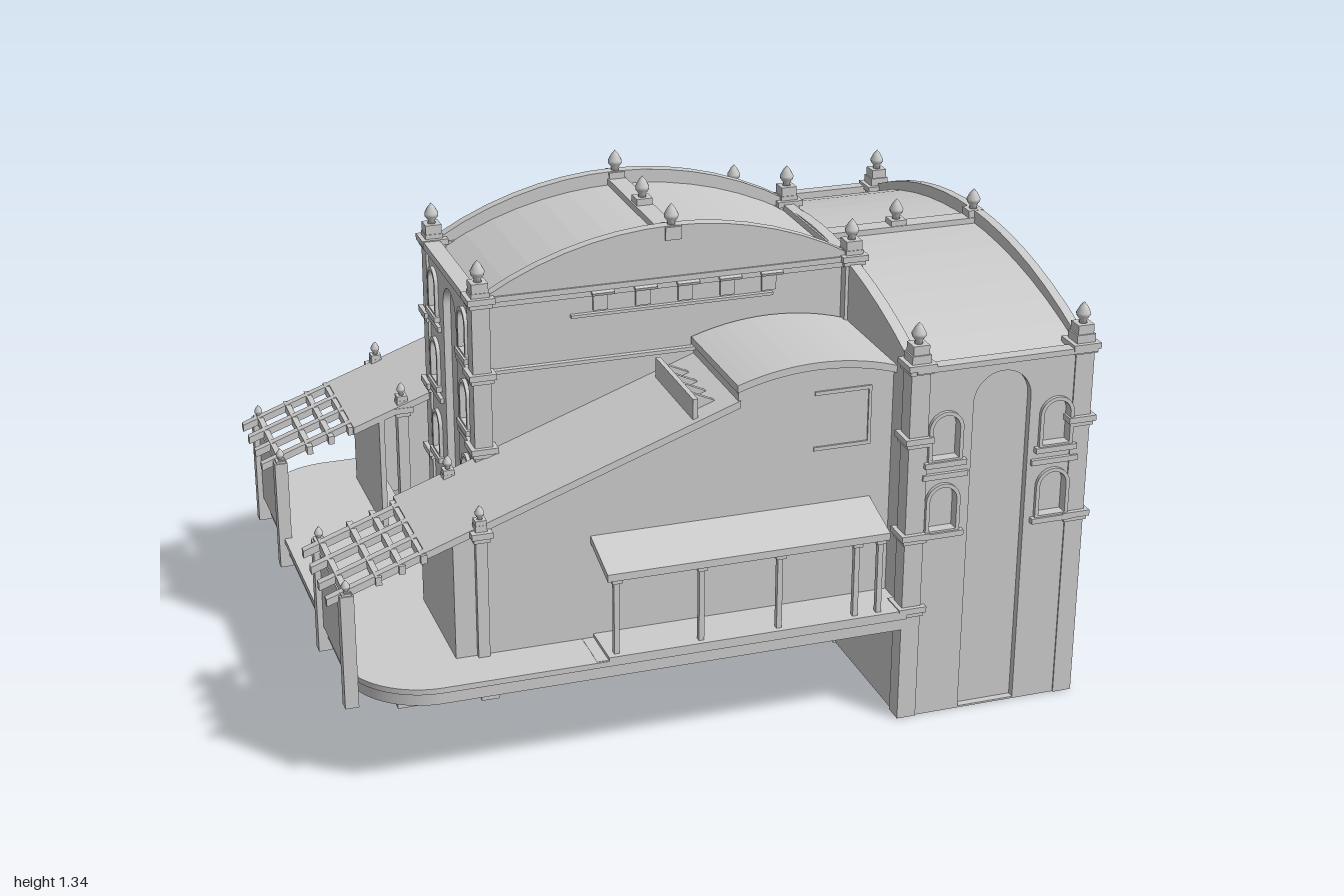
import * as THREE from 'three';

const mat = new THREE.MeshStandardMaterial({ color: 0xcccccc, side: THREE.DoubleSide });
const V = (x, y) => new THREE.Vector2(x, y);

function add(parent, name, geo) {
  const m = new THREE.Mesh(geo, mat);
  m.name = name;
  parent.add(m);
  return m;
}
// Box from its limits
function box(p, name, x0, x1, y0, y1, z0, z1) {
  const m = add(p, name, new THREE.BoxGeometry(Math.abs(x1 - x0), y1 - y0, Math.abs(z1 - z0)));
  m.position.set((x0 + x1) / 2, (y0 + y1) / 2, (z0 + z1) / 2);
  return m;
}
const extrude = (shape, depth) => new THREE.ExtrudeGeometry(shape, { depth, bevelEnabled: false, curveSegments: 16 });
// Points of a shallow arc from -half to half, rising from y by sag
function arc(half, y, sag, n = 14) {
  const r = (half * half + sag * sag) / (2 * sag);
  return Array.from({ length: n + 1 }, (_, i) => {
    const u = -half + (2 * half * i) / n;
    return V(u, y + sag - r + Math.sqrt(r * r - u * u));
  });
}
// Curved band: the arc on top, the same arc lowered by t (or a flat bottom) below
function arcBand(half, y, sag, t, flat) {
  const top = arc(half, y, sag);
  const low = flat ? [V(half, y - t), V(-half, y - t)] : top.map(q => V(q.x, q.y - t)).reverse();
  return new THREE.Shape([...top, ...low]);
}
// Round-headed opening outline
function archPath(P, u, y0, y1, w) {
  const r = w / 2, s = new P();
  s.moveTo(u - r, y0);
  s.lineTo(u + r, y0);
  s.lineTo(u + r, y1 - r);
  s.absarc(u, y1 - r, r, 0, Math.PI, false);
  s.lineTo(u - r, y0);
  return s;
}
// Raised window surround with sill
function frame(p, u, y0, y1, w, z) {
  const s = archPath(THREE.Shape, u, y0 - 0.01, y1 + 0.01, w + 0.02);
  s.holes.push(archPath(THREE.Path, u, y0, y1, w));
  add(p, 'windowFrame', extrude(s, 0.01)).position.z = z;
  box(p, 'windowSill', u - w / 2 - 0.02, u + w / 2 + 0.02, y0 - 0.02, y0 - 0.005, z, z + 0.016);
}
// Facade with a tall niche and arched windows; its outer face is local z = 0
function facade(half, top, niche, wins) {
  const g = new THREE.Group();
  g.name = 'facade';
  const s = new THREE.Shape([V(-half, 0), V(half, 0), V(half, top), V(-half, top)]);
  for (const [u, y0, y1, w] of [[0, ...niche], ...wins]) {
    s.holes.push(archPath(THREE.Path, u, y0, y1, w));
    add(g, 'recessPanel', extrude(archPath(THREE.Shape, u, y0, y1 + 0.01, w + 0.02), 0.01)).position.z = -0.03;
  }
  for (const w of wins) frame(g, ...w, 0);
  add(g, 'facadeWall', extrude(s, 0.02)).position.z = -0.02;
  return g;
}
function finial(p, x, y, z, k = 1) {
  const w = 0.022 * k;
  box(p, 'finialPlinth', x - w, x + w, y, y + 0.035 * k, z - w, z + w);
  const prof = [[0, 0], [0.011, 0], [0.009, 0.008], [0.018, 0.02], [0.019, 0.028], [0.01, 0.045], [0, 0.057]];
  add(p, 'finial', new THREE.LatheGeometry(prof.map(q => V(q[0] * k, q[1] * k)), 12)).position.set(x, y + 0.035 * k, z);
}
// Square pilaster with projecting caps at the given heights
function pilaster(p, x, z, w, y0, y1, caps) {
  box(p, 'pilaster', x - w, x + w, y0, y1, z - w, z + w);
  for (const c of caps) {
    box(p, 'pilasterCap', x - w - 0.012, x + w + 0.012, c - 0.008, c + 0.008, z - w - 0.012, z + w + 0.012);
    box(p, 'pilasterNeck', x - w - 0.006, x + w + 0.006, c - 0.02, c - 0.008, z - w - 0.006, z + w + 0.006);
  }
}
const slope = x => 0.53 + 0.36 * (x + 0.98);
// Bar or slab following the aisle roof slope
function sloped(p, name, x0, x1, t, z0, z1) {
  const s = new THREE.Shape([V(x0, slope(x0) - t / 2), V(x1, slope(x1) - t / 2), V(x1, slope(x1) + t / 2), V(x0, slope(x0) + t / 2)]);
  add(p, name, extrude(s, z1 - z0)).position.z = z0;
}

function eastBlock(root) {
  const g = new THREE.Group();
  g.name = 'eastBlock';
  root.add(g);
  // End facades
  const wins = [-0.155, 0.155].flatMap(u => [[u, 0.74, 0.86, 0.075], [u, 0.54, 0.66, 0.075]]);
  for (const s of [1, -1]) {
    const f = facade(0.245, 1, [0.005, 0.96, 0.16], wins);
    f.position.set(0.735, 0, s * 0.69);
    if (s < 0) f.rotation.y = Math.PI;
    g.add(f);
    for (const [a, b] of [[0.52, 0.645], [0.825, 0.955]]) box(g, 'stringCourse', a, b, 0.685, 0.7, s * 0.69, s * 0.7);
    box(g, 'cornice', 0.49, 0.99, 0.985, 1.0, s * 0.67, s * 0.705);
    for (const x of [0.505, 0.96]) {
      pilaster(g, x, s * 0.668, 0.026, 0, 1.03, x > 0.9 ? [1.0, 0.8, 0.53] : [1.0, 0.8, 0.53, 0.32]);
      finial(g, x, 1.02, s * 0.668);
    }
  }
  // Long walls, the outer one with its tall opening
  const wall = new THREE.Shape([V(-0.68, 0), V(0.68, 0), V(0.68, 1), V(-0.68, 1)]);
  wall.holes.push(new THREE.Path([V(-0.35, 0.26), V(-0.09, 0.26), V(-0.09, 0.995), V(-0.35, 0.995)]));
  const outer = add(g, 'eastWall', extrude(wall, 0.015));
  outer.rotation.y = Math.PI / 2;
  outer.position.x = 0.96;
  box(g, 'openingPost', 0.965, 0.98, 0.04, 1, 0.335, 0.35);
  box(g, 'westWall', 0.485, 0.5, 0, 1, -0.68, 0.68);
  box(g, 'cornice', 0.96, 0.985, 0.99, 1.003, -0.69, 0.69);
  // Barrel roof between arched parapets
  const bands = [['barrelRoof', arcBand(0.66, 0.985, 0.125, 0.015), 0.49, 0.48],
    ['archedParapet', arcBand(0.64, 1.015, 0.13, 0.025, true), 0.485, 0.03],
    ['archedParapet', arcBand(0.64, 1.015, 0.13, 0.025, true), 0.955, 0.025]];
  for (const [n, s, x, d] of bands) {
    const m = add(g, n, extrude(s, d));
    m.rotation.y = Math.PI / 2;
    m.position.x = x;
  }
  box(g, 'ridge', 0.5, 0.97, 1.1, 1.125, -0.025, 0.025);
  finial(g, 0.73, 1.105, 0);
  finial(g, 0.96, 1.11, 0);
  // Windows on the inner wall
  const inner = new THREE.Group();
  inner.name = 'innerWindows';
  inner.rotation.y = Math.PI / 2;
  inner.position.x = 0.5;
  g.add(inner);
  for (const u of [-0.15, 0.15]) for (const y of [0.68, 0.88]) frame(inner, u, y, y + 0.11, 0.07, 0);
  for (const u of [-0.3, 0.3]) frame(inner, u, 0.8, 0.92, 0.06, 0);
  for (const z of [-0.23, 0.23]) pilaster(g, 0.5, z, 0.022, 0, 1, [0.94, 0.61]);
}

function hall(root) {
  const g = new THREE.Group();
  g.name = 'mainHall';
  root.add(g);
  // Barrel roof, gable and west facade
  add(g, 'barrelRoof', extrude(arcBand(0.495, 1.115, 0.13, 0.02), 0.46)).position.z = -0.23;
  box(g, 'eastGable', 0.48, 0.51, 0.95, 1.14, -0.23, 0.23);
  const f = facade(0.24, 1.13, [0.32, 1.08, 0.13], [-0.155, 0.155].flatMap(u => [0.56, 0.77, 0.97].map(y => [u, y, y + 0.11, 0.06])));
  f.rotation.y = -Math.PI / 2;
  f.position.x = -0.53;
  g.add(f);
  box(g, 'westCornice', -0.545, -0.5, 1.125, 1.145, -0.25, 0.25);
  for (const y of [0.73, 0.935]) for (const s of [1, -1]) box(g, 'stringCourse', -0.54, -0.52, y - 0.007, y + 0.007, s * 0.09, s * 0.24);
  for (const s of [1, -1]) {
    const z = s * 0.235;
    box(g, 'sideWall', -0.53, 0.49, 0, 1.135, s * 0.215, s * 0.23);
    add(g, 'archedParapet', extrude(arcBand(0.5, 1.145, 0.137, 0.03, true), 0.03)).position.z = z - 0.015;
    box(g, 'cornice', -0.54, 0.52, 1.13, 1.145, s * 0.22, s * 0.255);
    box(g, 'stringCourse', -0.53, 0.49, 0.93, 0.94, s * 0.22, s * 0.245);
    for (const x of [-0.513, 0.5]) {
      pilaster(g, x, z, 0.024, x < 0 ? 0 : 0.9, 1.16, x < 0 ? [1.14, 0.935, 0.73, 0.53] : [1.14]);
      finial(g, x, 1.15, z);
    }
    finial(g, 0, 1.245, z);
    // Row of small hooded vents
    box(g, 'ventSill', -0.27, 0.28, 1.057, 1.065, s * 0.23, s * 0.243);
    for (let i = 0; i < 5; i++) {
      const x = -0.22 + i * 0.115;
      box(g, 'ventFrame', x + 0.01, x + 0.05, 1.07, 1.13, s * 0.23, s * 0.237);
      box(g, 'ventHood', x, x + 0.06, 1.125, 1.133, s * 0.23, s * 0.265).rotation.x = s * 0.35;
    }
  }
  box(g, 'ridge', -0.025, 0.025, 1.23, 1.262, -0.23, 0.23);
  finial(g, 0, 1.245, 0);
}

// Side aisle with lean-to roof, rear tower, pergola and veranda
function aisle(root, s) {
  const g = new THREE.Group();
  g.name = s > 0 ? 'frontAisle' : 'backAisle';
  root.add(g);
  const B = (name, x0, x1, y0, y1, z0, z1) => box(g, name, x0, x1, y0, y1, s * z0, s * z1);
  const lo = (a, b) => [Math.min(s * a, s * b), Math.max(s * a, s * b)];
  const crown = arc(0.21, 0.955, 0.035, 12).map(q => V(q.x + 0.275, q.y));
  const prof = new THREE.Shape([V(-0.68, 0.27), V(0.485, 0.27), ...crown.reverse(), V(0.065, slope(0.065)), V(-0.68, slope(-0.68))]);
  add(g, 'aisleWall', extrude(prof, 0.015)).position.z = lo(0.555, 0.57)[0];
  B('aisleWestWall', -0.68, -0.665, 0.3, 0.64, 0.23, 0.57);
  B('towerWestWall', 0.065, 0.08, 0.89, 0.96, 0.23, 0.57);
  sloped(g, 'leanToRoof', -0.75, 0.07, 0.02, ...lo(0.23, 0.573));
  add(g, 'towerRoof', extrude(arcBand(0.215, 0.967, 0.035, 0.02), 0.35)).position.set(0.27, 0, lo(0.24, 0.59)[0]);
  // Upright screen with triangular braces behind it
  B('screen', -0.05, -0.037, 0.85, 0.93, 0.26, 0.555);
  for (const z of [0.31, 0.375, 0.44, 0.505]) {
    const brace = new THREE.Shape([V(-0.04, 0.87), V(0.03, 0.89), V(0.025, 0.9), V(-0.04, 0.93)]);
    add(g, 'screenBrace', extrude(brace, 0.014)).position.z = s * z - 0.007;
  }
  // Window surround on the tower
  B('towerWindowHead', 0.27, 0.425, 0.905, 0.915, 0.565, 0.575);
  B('towerWindowSill', 0.27, 0.425, 0.752, 0.762, 0.565, 0.575);
  B('towerWindowJamb', 0.417, 0.425, 0.76, 0.91, 0.565, 0.575);
  // Pergola
  for (const z of [0.28, 0.375, 0.47, 0.56]) sloped(g, 'pergolaRafter', -1, -0.74, 0.02, ...lo(z - 0.011, z + 0.011));
  for (const x of [-0.95, -0.87, -0.81, -0.755]) B('pergolaBeam', x - 0.008, x + 0.008, slope(x) - 0.015, slope(x) + 0.008, 0.245, 0.58);
  for (const z of [0.255, 0.57]) {
    box(g, 'pergolaPier', -0.97, -0.935, 0.23, 0.54, s * z - 0.016, s * z + 0.016);
    finial(g, -0.952, 0.525, s * z, 0.6);
    pilaster(g, -0.61, s * z, 0.015, 0.3, 0.68, [0.655]);
    finial(g, -0.61, 0.67, s * z, 0.65);
  }
  B('pergolaEndWall', -0.955, -0.945, 0.3, 0.51, 0.25, 0.57);
  // Veranda
  const roof = new THREE.Shape([V(0.56, 0.585), V(0.712, 0.54), V(0.712, 0.56), V(0.56, 0.605)].map(q => V(-s * q.x, q.y)));
  const m = add(g, 'verandaRoof', extrude(roof, 0.755));
  m.rotation.y = Math.PI / 2;
  m.position.x = -0.325;
  B('verandaBeam', -0.31, 0.42, 0.535, 0.55, 0.675, 0.69);
  for (const x of [-0.295, -0.07, 0.14, 0.35, 0.415]) {
    B('verandaPost', x - 0.007, x + 0.007, 0.31, 0.545, 0.675, 0.69);
    B('verandaPostCap', x - 0.013, x + 0.013, 0.523, 0.535, 0.669, 0.696);
  }
  B('verandaDeck', -0.32, 0.49, 0.3, 0.325, 0.56, 0.705);
  for (let i = 0; i < 2; i++) B('verandaStep', -0.38 + i * 0.03, -0.32, 0.3, 0.308 + i * 0.008, 0.575, 0.7);
}

export function createModel() {
  const root = new THREE.Group();
  root.name = 'vaultedHouse';
  eastBlock(root);
  hall(root);
  aisle(root, 1);
  aisle(root, -1);

  // Raised terrace with rounded west corners, open under the hall and aisles
  const terrace = (name, x0, zh, r, y, h) => {
    const s = new THREE.Shape();
    s.moveTo(0.49, -zh);
    s.lineTo(0.49, zh);
    s.lineTo(x0 + r, zh);
    s.absarc(x0 + r, zh - r, r, Math.PI / 2, Math.PI, false);
    s.absarc(x0 + r, -zh + r, r, Math.PI, Math.PI * 1.5, false);
    for (const [a, z0, z1] of [[-0.6, 0.235, 0.555], [-0.6, -0.555, -0.235], [-0.51, -0.215, 0.215]])
      s.holes.push(new THREE.Path([V(a, z0), V(0.48, z0), V(0.48, z1), V(a, z1)]));
    const m = add(root, name, extrude(s, h));
    m.rotation.x = -Math.PI / 2;
    m.position.y = y;
  };
  terrace('terraceSlab', -0.945, 0.695, 0.2, 0.265, 0.045);
  terrace('terraceEdge', -0.955, 0.705, 0.21, 0.3, 0.015);

  // Stair below the terrace: thin steps between two side walls
  const steps = [V(-0.76, 0)];
  for (let i = 0; i < 7; i++) {
    const x = -0.76 + i * 0.027, y = 0.08 + i * 0.031;
    steps.push(V(x, y), V(x + 0.027, y));
  }
  const under = steps.map(q => V(q.x + 0.008, Math.max(0, q.y - 0.008))).reverse();
  add(root, 'stairSteps', extrude(new THREE.Shape([...steps, ...under]), 0.46)).position.z = -0.23;
  const side = new THREE.Shape([...steps, V(-0.52, 0.266), V(-0.52, 0)]);
  for (const z of [-0.23, 0.215]) add(root, 'stairSide', extrude(side, 0.015)).position.z = z;
  return root;
}
